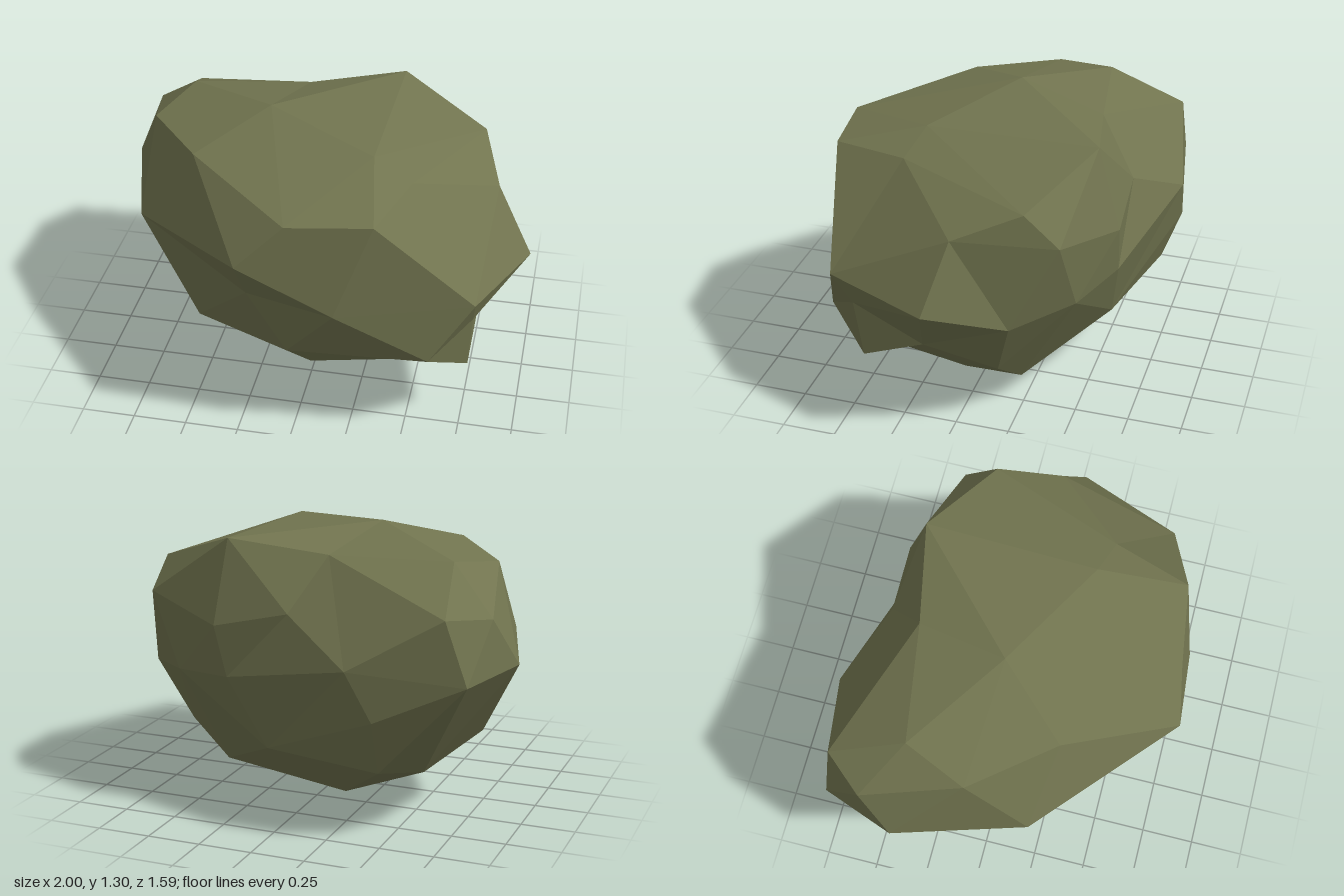
import * as THREE from 'three';
import { ConvexGeometry } from 'three/addons/geometries/ConvexGeometry.js';

// Corner points of the boulder, in bands from the base to the crown
const base = [
  [0.31, 0.005, 0.095], [0.01, 0.12, 0.32], [-0.475, 0.12, 0], [-0.2, 0.1, -0.385], [0.47, 0.125, -0.23],
];
const lower = [
  [0.585, 0.275, 0.385], [0.77, 0.31, 0.43], [0.61, 0.455, 0.64], [-0.04, 0.405, 0.62],
  [-0.53, 0.33, 0.33], [-0.755, 0.365, -0.06], [-0.6, 0.27, -0.45], [-0.47, 0.325, -0.69],
  [0.11, 0.33, -0.57], [0.68, 0.29, -0.18], [0.78, 0.425, 0.14],
];
const middle = [
  [1, 0.71, 0.07], [0.785, 0.59, 0.465], [0.8, 0.73, 0.56], [0.2, 0.73, 0.765], [-0.22, 0.71, 0.63],
  [-0.82, 0.8, 0.23], [-1, 0.79, -0.37], [-0.87, 0.76, -0.71], [-0.47, 0.58, -0.78],
  [-0.35, 0.8, -0.795], [0.28, 0.665, -0.63], [0.58, 0.64, -0.51], [0.82, 0.6, -0.27],
];
const upper = [
  [0.83, 1.01, -0.01], [0.36, 1.16, 0.68], [-0.02, 1.15, 0.735], [-0.23, 0.95, 0.79],
  [-0.92, 1.02, -0.52], [-0.765, 1.04, -0.7], [-0.015, 0.98, -0.62], [0.335, 0.9, -0.64], [0.73, 0.99, -0.47],
];
const crown = [
  [0.73, 1.13, -0.31], [0.47, 1.18, 0.32], [0.29, 1.265, 0.27], [-0.53, 1.2, 0.3], [-0.81, 1.17, -0.06],
  [-0.69, 1.215, -0.35], [-0.14, 1.22, -0.44], [0.31, 1.28, -0.53], [-0.24, 1.31, -0.02],
];

// Facet the corners on a sphere, then move each one out to its real place,
// which keeps the dents that a plain hull would fill
function boulderGeometry(points) {
  const centre = new THREE.Vector3(0, 0.66, 0);
  const directions = points.map((p) => p.clone().sub(centre).normalize());
  const geometry = new ConvexGeometry(directions);
  const position = geometry.attributes.position;
  const v = new THREE.Vector3();
  for (let i = 0; i < position.count; i++) {
    v.fromBufferAttribute(position, i);
    let nearest = 0;
    directions.forEach((d, k) => {
      if (d.distanceToSquared(v) < directions[nearest].distanceToSquared(v)) nearest = k;
    });
    position.setXYZ(i, ...points[nearest].toArray());
  }
  geometry.computeVertexNormals();
  geometry.computeBoundingSphere();
  return geometry;
}

export function createModel() {
  const mossyStone = new THREE.MeshStandardMaterial({ color: 0x71744f, flatShading: true });
  mossyStone.name = 'mossyStone';

  const points = [base, lower, middle, upper, crown].flat().map((p) => new THREE.Vector3(...p));
  const boulder = new THREE.Mesh(boulderGeometry(points), mossyStone);
  boulder.name = 'boulder';

  const model = new THREE.Group();
  model.name = 'rock';
  model.add(boulder);
  return model;
}
